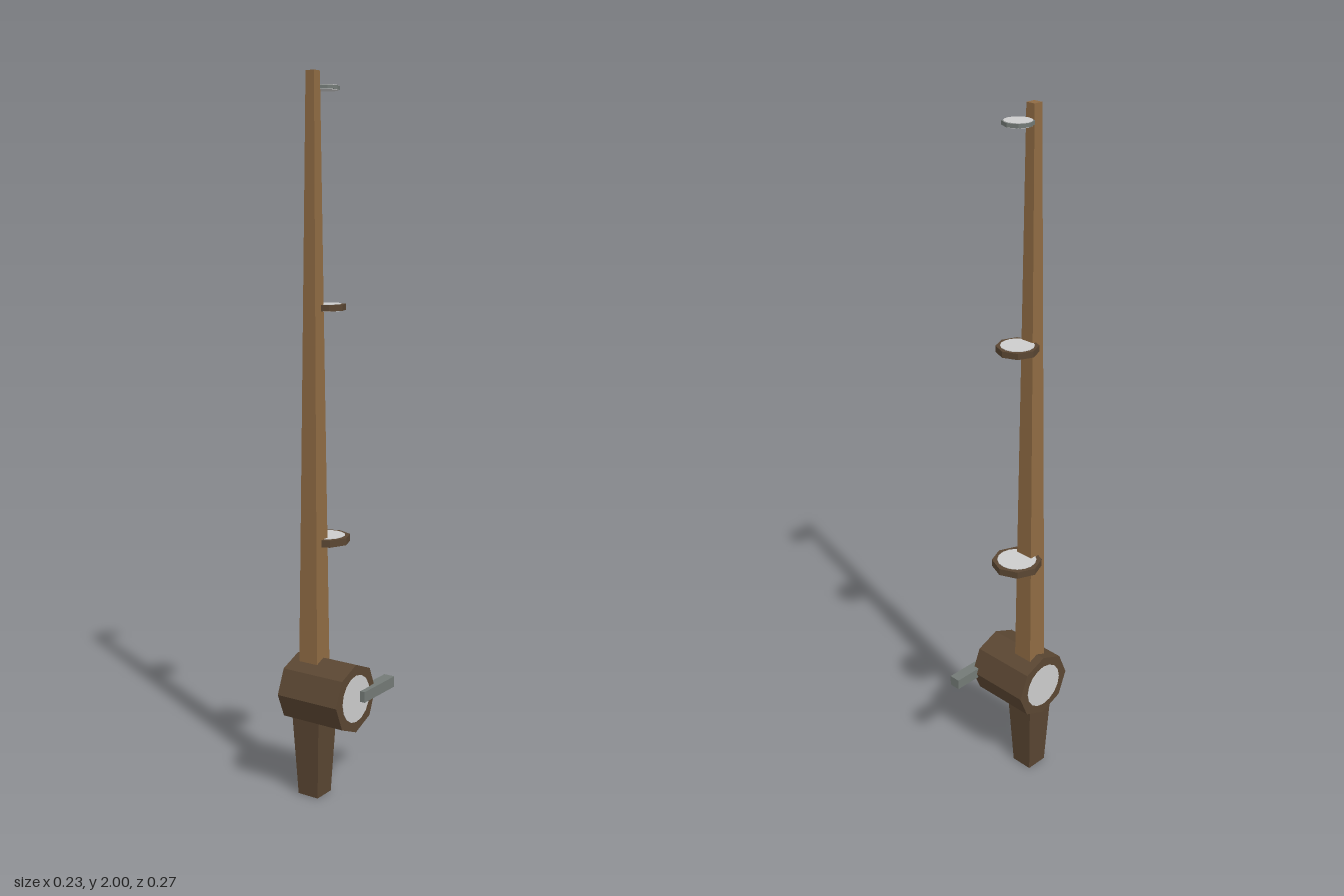
import * as THREE from 'three';

const mat = (name, color) => {
  const m = new THREE.MeshStandardMaterial({ color, flatShading: true });
  m.name = name;
  return m;
};

export function createModel() {
  const wood = mat('light wood', 0x8f6b43);
  const dark = mat('dark wood', 0x5a4632);
  const metal = mat('grey metal', 0x737a76);
  const pale = mat('pale grey', 0xcccccc);

  const model = new THREE.Group();
  model.name = 'fishingRod';
  const AX = -0.043, AZ = 0.038; // rod axis

  const add = (name, geometry, material, x, y, z) => {
    const mesh = new THREE.Mesh(geometry, material);
    mesh.name = name;
    mesh.position.set(x, y, z);
    model.add(mesh);
    return mesh;
  };

  // Square tapered bar between two heights, given half widths
  const taper = (name, material, y0, y1, half0, half1) => {
    const g = new THREE.CylinderGeometry(half1 * Math.SQRT2, half0 * Math.SQRT2, y1 - y0, 4);
    g.rotateY(Math.PI / 4);
    add(name, g, material, AX, (y0 + y1) / 2, AZ);
  };
  taper('handle', dark, 0, 0.3, 0.033, 0.048);
  taper('pole', wood, 0.34, 2, 0.031, 0.0135);

  // Octagonal reel lying along x, with a pale disc on each end
  const drum = new THREE.CylinderGeometry(0.098, 0.098, 0.197, 8).rotateZ(Math.PI / 2);
  add('reel', drum, dark, -0.0015, 0.309, 0.037);
  const cap = new THREE.CylinderGeometry(0.067, 0.067, 0.2, 16).rotateZ(Math.PI / 2);
  add('reelCaps', cap, pale, -0.0015, 0.309, 0.037);

  // Crank on the left end of the reel
  add('crank', new THREE.BoxGeometry(0.033, 0.031, 0.156), metal, 0.0965, 0.31, -0.06);

  // Line guides behind the pole: octagonal rim with a pale centre
  const guides = [
    [0.735, 0.07, 0.055, 0.02, dark],
    [1.382, 0.057, 0.045, 0.017, dark],
    [1.96, 0.04, 0.036, 0.01, metal],
  ];
  guides.forEach(([y, r, inner, h, material], i) => {
    add('guideRim' + (i + 1), new THREE.CylinderGeometry(r, r, h, 8), material, AX, y, -0.018);
    add('guideCentre' + (i + 1), new THREE.CylinderGeometry(inner, inner, h + 0.003, 16), pale, AX, y, -0.018);
  });

  return model;
}
